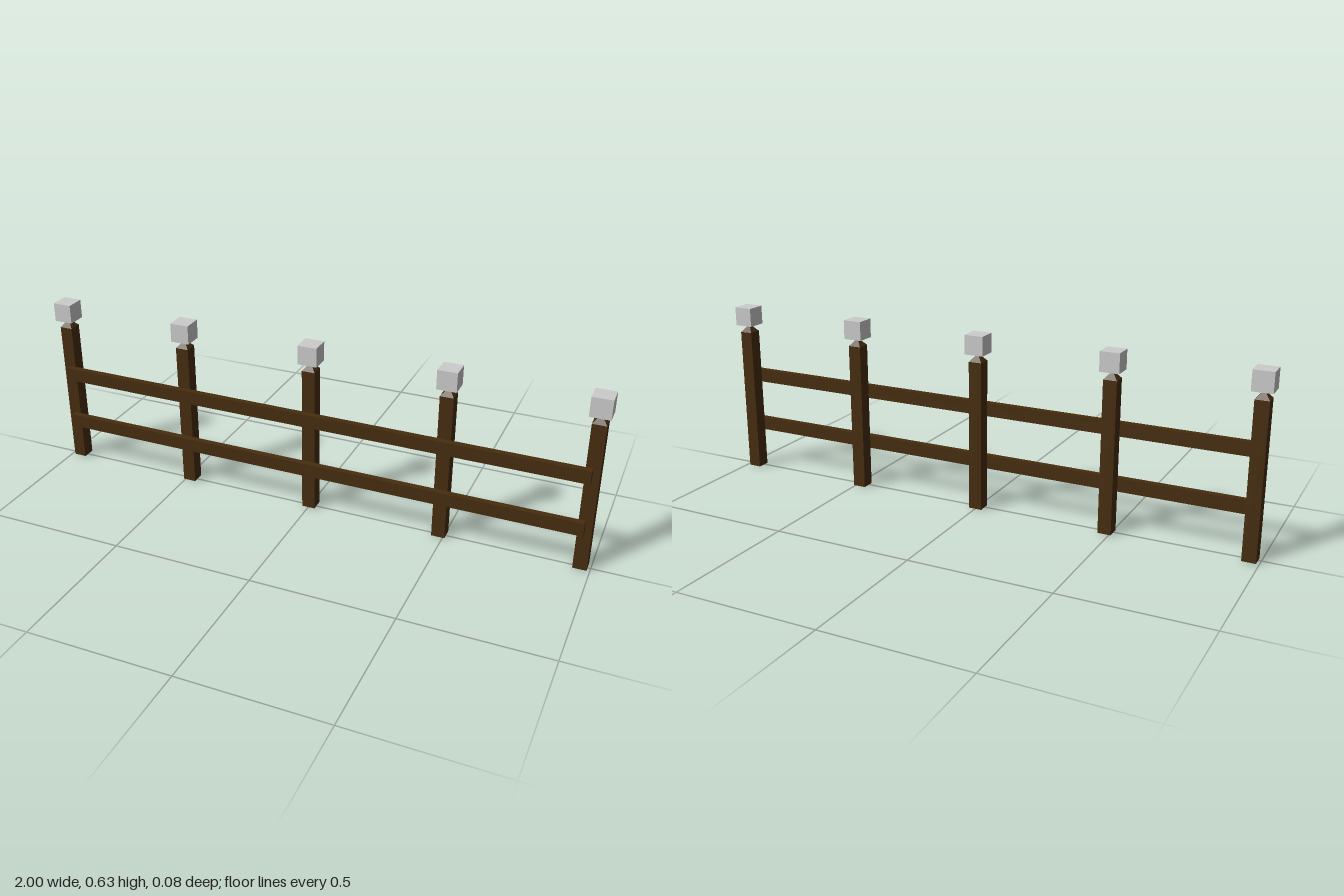
import * as THREE from 'three';

export function createModel() {
  const wood = new THREE.MeshStandardMaterial({ color: 0x472d0f });
  wood.name = 'dark wood';
  const grey = new THREE.MeshStandardMaterial({ color: 0xcccccc });
  grey.name = 'light grey';

  const fence = new THREE.Group();
  fence.name = 'fence';

  const add = (parent, name, geometry, material, x, y, z) => {
    const mesh = new THREE.Mesh(geometry, material);
    mesh.name = name;
    mesh.position.set(x, y, z);
    parent.add(mesh);
  };

  const postWidth = 0.047, postHeight = 0.533, tipHeight = 0.027;
  const lampSize = 0.068, spacing = 0.483, postZ = -0.0055;

  const shaft = new THREE.BoxGeometry(postWidth, postHeight, postWidth);
  // Four-sided pyramid with its sides parallel to the post
  const tip = new THREE.ConeGeometry(postWidth / Math.SQRT2, tipHeight, 4, 1, true)
    .rotateY(Math.PI / 4).toNonIndexed();
  tip.computeVertexNormals();
  const lamp = new THREE.BoxGeometry(lampSize, lampSize, lampSize);

  // Five pointed posts, each with a cube above its tip
  for (let i = -2; i <= 2; i++) {
    const post = new THREE.Group();
    post.name = 'post';
    post.position.set(i * spacing, 0, postZ);
    add(post, 'postShaft', shaft, wood, 0, postHeight / 2, 0);
    add(post, 'postTip', tip, wood, 0, postHeight + tipHeight / 2, 0);
    add(post, 'lampCube', lamp, grey, 0, postHeight + tipHeight + lampSize / 2, 0);
    fence.add(post);
  }

  // Two rails fixed to the front of the posts
  const rail = new THREE.BoxGeometry(spacing * 4, 0.048, 0.022);
  add(fence, 'lowerRail', rail, wood, 0, 0.164, 0.029);
  add(fence, 'upperRail', rail, wood, 0, 0.357, 0.029);

  return fence;
}
